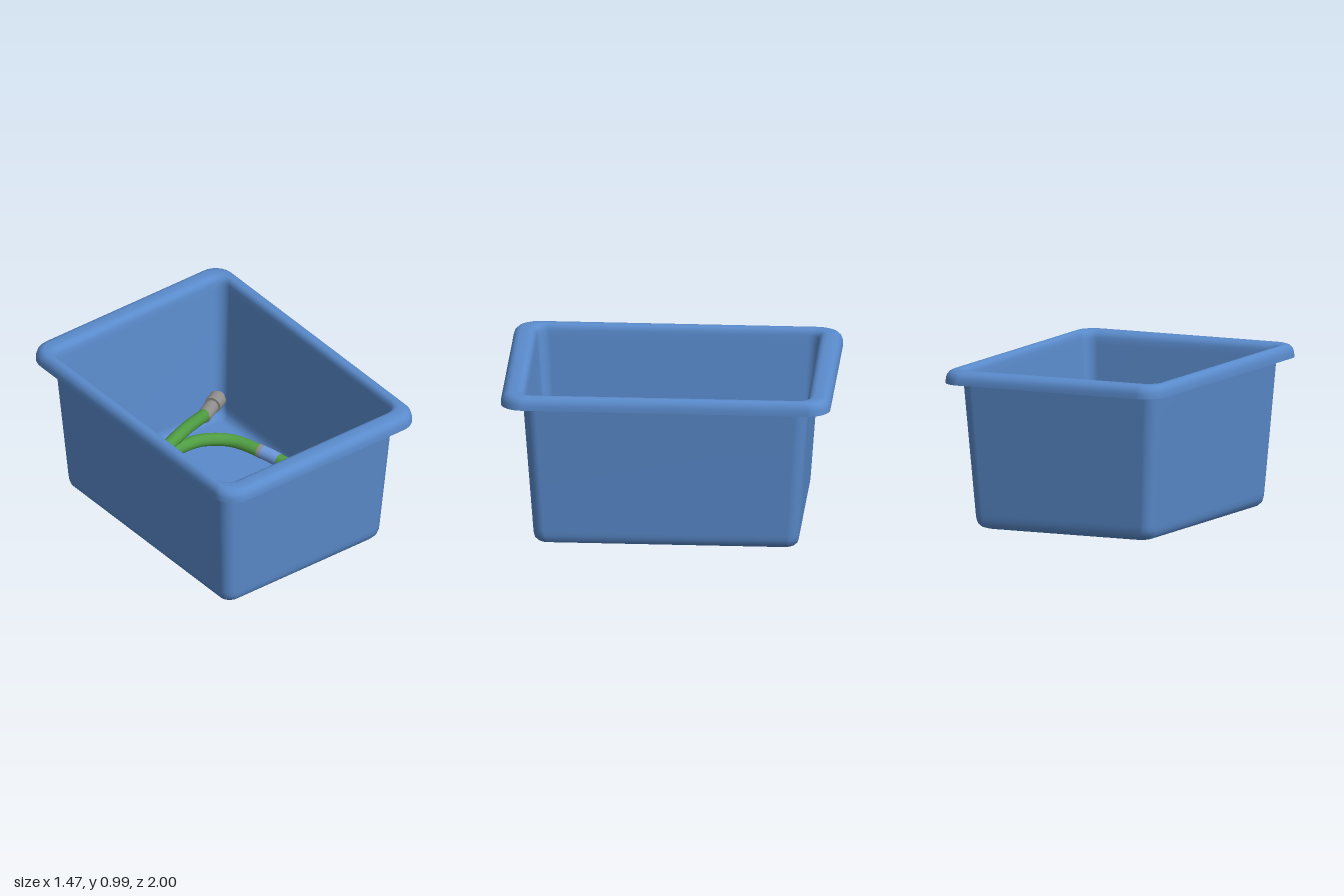
import * as THREE from 'three';

const material = (name, color) => Object.assign(new THREE.MeshStandardMaterial({ color }), { name });
const V = (p) => new THREE.Vector3(...p);
const HOSE_R = 0.04;

// Points of a rounded rectangle, half sizes hx and hz, corner radius r
function roundedRing(hx, hz, y, r) {
  const pts = [], steps = 8;
  for (let q = 0; q < 4; q++) {
    const sx = q === 0 || q === 3 ? 1 : -1, sz = q < 2 ? 1 : -1;
    for (let i = 0; i <= steps; i++) {
      const a = (q + i / steps) * Math.PI / 2;
      pts.push([sx * (hx - r) + r * Math.cos(a), y, sz * (hz - r) + r * Math.sin(a)]);
    }
  }
  return pts;
}

// Smooth skin through a list of rounded rings [hx, hz, y, r]
function loft(sections) {
  const rings = sections.map((s) => roundedRing(...s)), n = rings[0].length, index = [];
  for (let j = 0; j < rings.length - 1; j++) {
    for (let i = 0; i < n; i++) {
      const a = j * n + i, b = j * n + (i + 1) % n;
      index.push(a, a + n, b, b, a + n, b + n);
    }
  }
  const geo = new THREE.BufferGeometry();
  geo.setAttribute('position', new THREE.Float32BufferAttribute(rings.flat(2), 3));
  geo.setIndex(index);
  geo.computeVertexNormals();
  return geo;
}

export function createModel() {
  const model = new THREE.Group();
  model.name = 'binWithHoses';
  const blue = material('binBlue', 0x5a8bcc);
  const green = material('hoseGreen', 0x4f9c42);
  const grey = material('fittingGrey', 0x8f8d8b);
  const label = material('labelBlue', 0x6f98dc);

  const add = (name, geo, mat, parent = model) => {
    const mesh = new THREE.Mesh(geo, mat);
    mesh.name = name;
    parent.add(mesh);
    return mesh;
  };

  // Bin: outer wall, hollow overhanging rim, inner wall and floor
  add('binOuterWall', loft([
    [0.01, 0.01, 0, 0.005], [0.53, 0.74, 0, 0.05], [0.545, 0.755, 0.002, 0.06], [0.575, 0.782, 0.012, 0.07],
    [0.592, 0.798, 0.032, 0.07], [0.6, 0.805, 0.06, 0.07], [0.603, 0.808, 0.09, 0.07],
    [0.66, 0.866, 0.9, 0.08], [0.662, 0.869, 0.955, 0.08],
  ]), blue);
  add('rimUnderside', loft([
    [0.662, 0.869, 0.955, 0.08], [0.69, 0.95, 0.955, 0.1], [0.708, 0.97, 0.945, 0.11],
    [0.718, 0.985, 0.925, 0.12], [0.72, 0.987, 0.906, 0.12],
  ]), blue);
  add('rimEdge', loft([[0.72, 0.987, 0.906, 0.12], [0.735, 1, 0.906, 0.13]]), blue);
  add('rimTop', loft([
    [0.735, 1, 0.906, 0.13], [0.734, 0.999, 0.935, 0.13], [0.728, 0.991, 0.96, 0.125], [0.714, 0.974, 0.978, 0.115],
    [0.698, 0.95, 0.987, 0.105], [0.68, 0.905, 0.987, 0.095], [0.665, 0.885, 0.982, 0.085],
    [0.653, 0.868, 0.968, 0.075], [0.648, 0.858, 0.945, 0.07], [0.645, 0.854, 0.9, 0.07],
    [0.588, 0.794, 0.1, 0.06], [0.584, 0.789, 0.07, 0.06], [0.573, 0.778, 0.043, 0.06],
    [0.55, 0.756, 0.026, 0.05], [0.525, 0.735, 0.02, 0.045], [0.01, 0.01, 0.02, 0.005],
  ]), blue);

  // Cylinder running between two points
  function rod(name, a, b, r, parent) {
    const d = b.clone().sub(a);
    const mesh = add(name, new THREE.CylinderGeometry(r, r, d.length(), 24), grey, parent);
    mesh.position.copy(a).addScaledVector(d, 0.5);
    mesh.quaternion.setFromUnitVectors(new THREE.Vector3(0, 1, 0), d.normalize());
  }

  // Straight coupling: ferrule, nut and stem along the hose end direction
  function coupling(end, dir, parent) {
    const at = (t) => end.clone().addScaledVector(dir, t);
    rod('ferrule', at(-0.03), at(0.09), 0.044, parent);
    rod('neck', at(0.09), at(0.105), 0.036, parent);
    rod('nut', at(0.105), at(0.185), 0.053, parent);
    rod('stem', at(0.185), at(0.215), 0.032, parent);
  }

  // Elbow coupling: ferrule into a cross body with a flanged outlet
  function elbow(end, dir, axis, parent) {
    const c = end.clone().addScaledVector(dir, 0.1);
    const at = (t) => c.clone().addScaledVector(axis, t);
    rod('ferrule', end.clone().addScaledVector(dir, -0.03), c, 0.042, parent);
    rod('elbowBody', at(-0.035), at(0.065), 0.06, parent);
    rod('elbowCap', at(0.065), at(0.08), 0.048, parent);
    rod('elbowNeck', at(-0.065), at(-0.035), 0.038, parent);
    rod('elbowFlange', at(-0.085), at(-0.065), 0.055, parent);
  }

  // Each hose runs from its elbow to its straight coupling
  const hoses = [
    { axis: [0.9, 0, -0.42], mark: [0.485, -0.17], band: -1, path: [
      [-0.33, 0.16, -0.65], [-0.27, 0.17, -0.57], [-0.17, 0.18, -0.51], [0, 0.18, -0.49], [0.2, 0.16, -0.49],
      [0.37, 0.13, -0.41], [0.46, 0.11, -0.24], [0.52, 0.1, 0], [0.54, 0.1, 0.15], [0.51, 0.1, 0.35], [0.515, 0.1, 0.54]] },
    { axis: [0.65, 0, 0.76], mark: [-0.21, -0.375], band: 0, path: [
      [-0.44, 0.13, 0.565], [-0.36, 0.18, 0.48], [-0.325, 0.22, 0.37], [-0.35, 0.24, 0.25], [-0.42, 0.26, 0.09],
      [-0.46, 0.27, -0.07], [-0.4, 0.29, -0.24], [-0.2, 0.29, -0.375], [0.08, 0.27, -0.51], [0.37, 0.18, -0.665]] },
    { axis: [-0.9, 0, 0.42], mark: [-0.45, 0.2], band: -1, path: [
      [0.345, 0.15, 0.6], [0.28, 0.16, 0.52], [0.17, 0.16, 0.45], [0, 0.14, 0.41], [-0.2, 0.12, 0.42],
      [-0.36, 0.11, 0.36], [-0.44, 0.11, 0.23], [-0.5, 0.11, 0.03], [-0.52, 0.11, -0.2], [-0.465, 0.11, -0.42], [-0.5, 0.11, -0.59]] },
  ];

  for (const { axis, mark, band, path } of hoses) {
    const hose = new THREE.Group();
    hose.name = 'hoseAssembly';
    model.add(hose);
    const curve = new THREE.CatmullRomCurve3(path.map(V));
    add('hose', new THREE.TubeGeometry(curve, 100, HOSE_R, 20), green, hose);

    // Thin sleeve covering part of the hose
    const len = curve.getLength();
    const sleeve = (name, t0, t1, r, mat) => {
      const pts = [0, 1, 2, 3, 4].map((i) => curve.getPointAt(t0 + (t1 - t0) * i / 4));
      add(name, new THREE.TubeGeometry(new THREE.CatmullRomCurve3(pts), 12, r, 20), mat, hose);
    };
    let t = 0, best = Infinity;
    for (let i = 0; i <= 200; i++) {
      const p = curve.getPointAt(i / 200), d = Math.hypot(p.x - mark[0], p.z - mark[1]);
      if (d < best) { best = d; t = i / 200; }
    }
    const h = 0.07 / len;
    sleeve('label', t - h, t + h, HOSE_R + 0.002, label);
    if (band) sleeve('labelBand', t + band * h - 0.012 / len, t + band * h + 0.012 / len, HOSE_R + 0.003, grey);

    const startDir = curve.getTangentAt(0).negate().setY(0).normalize();
    const endDir = curve.getTangentAt(1).setY(0).normalize();
    elbow(curve.getPointAt(0), startDir, V(axis).normalize(), hose);
    coupling(curve.getPointAt(1), endDir, hose);
  }
  return model;
}
